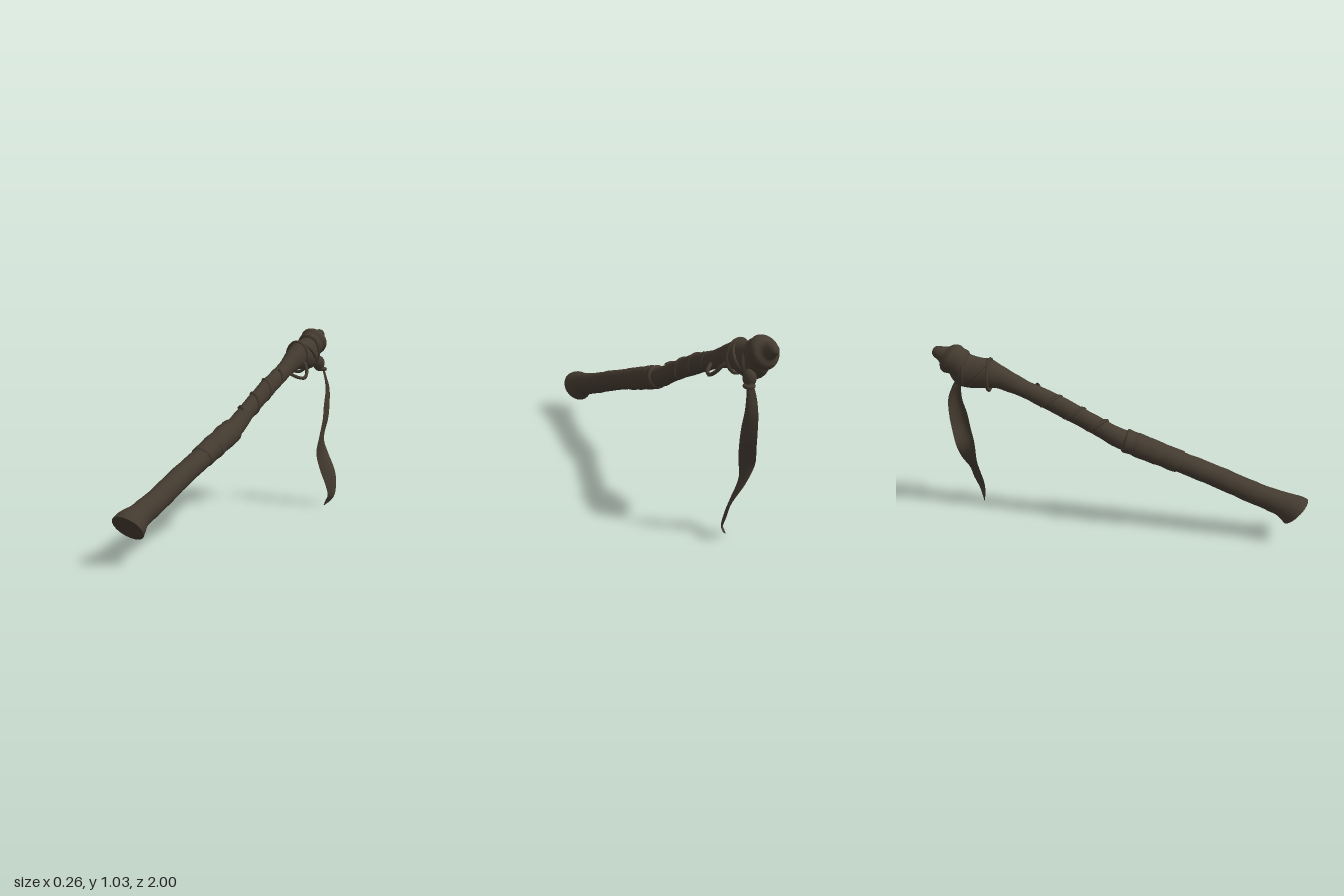
import * as THREE from 'three';

const SEG = 28;
const rad = THREE.MathUtils.degToRad;

// Smooth closed skin through tilted oval sections [z, y, x, rx, ry, tilt], ordered from +z to -z
function loft(rows, wrinkle = 0, fine = 5) {
  const mid = new THREE.CatmullRomCurve3(rows.map(r => new THREE.Vector3(r[2], r[1], r[0])), false, 'catmullrom');
  const size = new THREE.CatmullRomCurve3(rows.map(r => new THREE.Vector3(r[3], r[4], r[5])), false, 'catmullrom');
  const n = (rows.length - 1) * fine, pos = [], idx = [];
  for (let i = 0; i <= n; i++) {
    const c = mid.getPoint(i / n), s = size.getPoint(i / n), a = rad(s.z);
    for (let j = 0; j < SEG; j++) {
      const t = j / SEG * Math.PI * 2;
      const k = 1 + wrinkle * (Math.sin(2 * t + c.z * 45) + 0.6 * Math.sin(t - c.z * 80));
      const u = s.y * k * Math.sin(t);
      pos.push(c.x + s.x * k * Math.cos(t), c.y + u * Math.cos(a), c.z + u * Math.sin(a));
      if (i < n) {
        const A = i * SEG + j, B = i * SEG + (j + 1) % SEG, C = A + SEG, D = B + SEG;
        idx.push(A, C, B, B, C, D);
      }
    }
  }
  return build(pos, idx);
}

function build(pos, idx) {
  const g = new THREE.BufferGeometry();
  g.setAttribute('position', new THREE.Float32BufferAttribute(pos, 3));
  g.setIndex(idx);
  g.computeVertexNormals();
  return g;
}

const curve = pts => new THREE.CatmullRomCurve3(pts.map(p => new THREE.Vector3(...p)));

// Hanging cloth: rows of [y, x, zFront, zBack, fold, twist], tapering to a point
function ribbon(rows) {
  const a = curve(rows.map(r => [r[1] + r[5], r[0], r[2]]));
  const b = curve(rows.map(r => [r[1] - r[5], r[0], r[3]]));
  const f = curve(rows.map((r, i) => [r[4], 0, i]));
  const N = 48, M = 8, pos = [], idx = [];
  for (let i = 0; i <= N; i++) {
    const p = a.getPoint(i / N), q = b.getPoint(i / N), fold = f.getPoint(i / N).x;
    for (let j = 0; j <= M; j++) {
      const v = p.clone().lerp(q, j / M);
      pos.push(v.x + fold * Math.sin(j / M * Math.PI), v.y, v.z);
      if (i < N && j < M) {
        const k = i * (M + 1) + j;
        idx.push(k, k + M + 1, k + 1, k + 1, k + M + 1, k + M + 2);
      }
    }
  }
  return build(pos, idx);
}

export function createModel() {
  const group = new THREE.Group();
  const wood = new THREE.MeshStandardMaterial({ color: 0x443b30 });
  wood.name = 'darkBrown';
  wood.side = THREE.DoubleSide;
  const add = (name, geo) => {
    const m = new THREE.Mesh(geo, wood);
    m.name = name;
    group.add(m);
    return m;
  };

  // Long shaft, flared at the low end and swelling into the head
  const mouth = [0.935, 0.175, -0.043, 0.083, 0.09, 43];
  add('shaft', loft([
    mouth,
    [0.905, 0.197, -0.043, 0.074, 0.083, 38],
    [0.84, 0.222, -0.042, 0.059, 0.066, 28],
    [0.7, 0.272, -0.041, 0.056, 0.06, 22],
    [0.5, 0.355, -0.041, 0.056, 0.058, 22],
    [0.3, 0.43, -0.041, 0.055, 0.056, 22],
    [0.0, 0.54, -0.045, 0.05, 0.054, 23],
    [-0.15, 0.622, -0.048, 0.042, 0.05, 25],
    [-0.35, 0.726, -0.046, 0.043, 0.052, 25],
    [-0.5, 0.795, -0.045, 0.043, 0.047, 25],
    [-0.58, 0.832, -0.046, 0.046, 0.052, 24],
    [-0.65, 0.863, -0.047, 0.055, 0.064, 22],
    [-0.72, 0.88, -0.05, 0.066, 0.083, 20],
    [-0.8, 0.886, -0.052, 0.068, 0.093, 20],
    [-0.86, 0.915, -0.053, 0.064, 0.082, 24],
    [-0.9, 0.95, -0.053, 0.045, 0.045, 28],
  ], 0.018));

  // Flat face of the flared end, lofted from its centre outward
  add('endFace', loft([[...mouth.slice(0, 3), 0.001, 0.001, 43], mouth], 0, 1));

  // Cloth grip: overlapping rolls along the middle
  [[0.3, 0.16, 0.061], [0.2, 0.07, 0.063], [0.1, 0.02, 0.063]].forEach(([z0, z1, r], i) => {
    const at = (z, s, t) => [z, 0.541 - z * 0.37, -0.043, r * s, r * s * 1.02, 22 + t];
    add('gripWrap' + (i + 1), loft([
      at(z0 + 0.012, 0.85, 4), at(z0, 1, 4), at((z0 + z1) / 2, 0.98, 0),
      at(z1, 1.01, -5), at(z1 - 0.012, 0.8, -5),
    ], 0.016));
  });

  // Spiral binding strip on the upper shaft
  const spiral = [];
  for (let i = 0; i <= 60; i++) {
    const t = i / 60, z = -0.1 - 0.37 * t, a = t * Math.PI * 6 + 1;
    const u = 0.044 * Math.sin(a);
    spiral.push([-0.047 + 0.038 * Math.cos(a), 0.6 + 0.19 * t + u * 0.9, z + u * 0.42]);
  }
  add('spiralBinding', new THREE.TubeGeometry(curve(spiral), 120, 0.012, 6));

  // Slanted straps crossing the head
  [[-0.7, 0.877, 0.068, 0.086, 2], [-0.775, 0.89, 0.07, 0.094, 46], [-0.83, 0.905, 0.07, 0.092, 4]]
    .forEach(([z, y, rx, ry, tilt], i) => {
      const pts = [];
      for (let j = 0; j < 24; j++) {
        const t = j / 24 * Math.PI * 2, u = ry * Math.sin(t);
        pts.push(new THREE.Vector3(-0.052 + rx * Math.cos(t), y + u * Math.cos(rad(tilt)), z + u * Math.sin(rad(tilt))));
      }
      add('headStrap' + (i + 1), new THREE.TubeGeometry(new THREE.CatmullRomCurve3(pts, true), 60, 0.009, 6, true));
    });

  // Knob: collar, stepped cap and blunt tip
  add('knob', loft([
    [-0.83, 0.915, -0.053, 0.055, 0.06, 28],
    [-0.848, 0.928, -0.053, 0.074, 0.08, 31],
    [-0.872, 0.944, -0.053, 0.07, 0.078, 32],
    [-0.896, 0.957, -0.053, 0.076, 0.086, 33],
    [-0.92, 0.969, -0.053, 0.07, 0.074, 32],
    [-0.937, 0.977, -0.053, 0.045, 0.05, 30],
    [-0.955, 0.985, -0.053, 0.034, 0.04, 28],
    [-0.978, 0.995, -0.053, 0.027, 0.031, 26],
    [-0.993, 1.0, -0.053, 0.016, 0.018, 25],
    [-0.996, 1.002, -0.053, 0.001, 0.001, 25],
  ], 0.01, 4));

  // Knot under the head
  const knot = add('knot', new THREE.SphereGeometry(1, 16, 12));
  knot.scale.set(0.034, 0.045, 0.035);
  knot.position.set(0.0, 0.83, -0.865);
  const knotTie = add('knotTie', new THREE.TorusGeometry(0.02, 0.011, 8, 16));
  knotTie.rotation.x = Math.PI / 2;
  knotTie.position.set(0.012, 0.795, -0.88);

  // Small loose loop beside the shaft
  add('sideLoop', new THREE.TubeGeometry(curve([
    [-0.01, 0.86, -0.69], [0.022, 0.83, -0.67], [0.045, 0.79, -0.64],
    [0.05, 0.768, -0.6], [0.03, 0.775, -0.56], [-0.015, 0.8, -0.53],
  ]), 30, 0.01, 6));

  // Long cloth tail hanging from the knot
  add('clothTail', ribbon([
    [0.82, 0.01, -0.862, -0.895, 0.012, 0.006],
    [0.76, 0.014, -0.88, -0.925, 0.015, 0.012],
    [0.68, 0.022, -0.885, -0.953, 0.022, 0.014],
    [0.58, 0.024, -0.862, -0.955, 0.026, 0.014],
    [0.5, 0.022, -0.85, -0.945, 0.026, 0.016],
    [0.4, 0.012, -0.83, -0.925, 0.02, 0.015],
    [0.3, 0.028, -0.82, -0.91, 0.016, -0.014],
    [0.2, 0.075, -0.81, -0.885, 0.012, -0.028],
    [0.13, 0.1, -0.806, -0.872, 0.01, -0.02],
    [0.06, 0.112, -0.806, -0.845, 0.006, -0.012],
    [0.03, 0.098, -0.805, -0.83, 0.002, -0.012],
    [0.0, 0.076, -0.805, -0.81, 0, -0.002],
  ]));

  return group;
}
